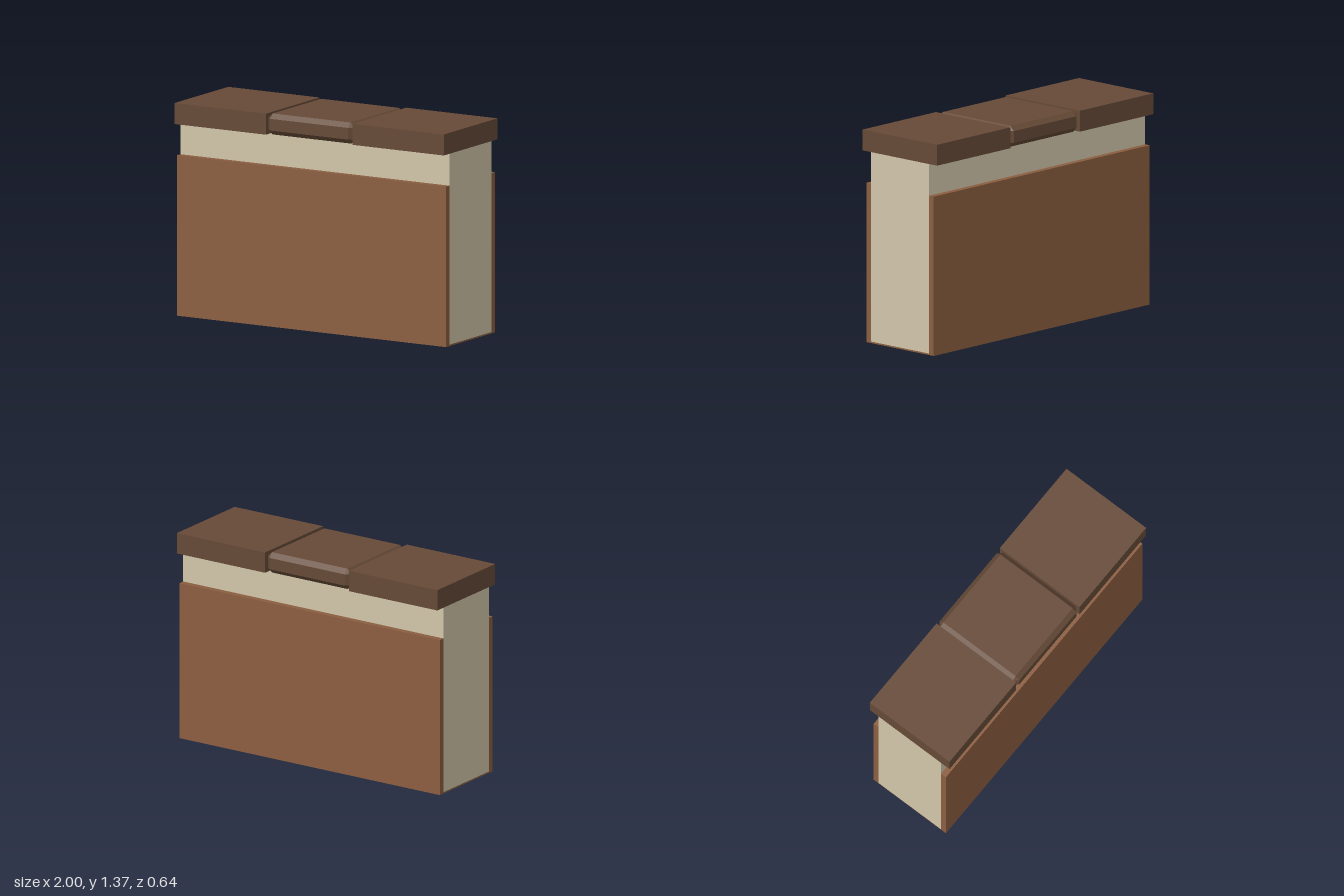
import * as THREE from 'three';
import { ConvexGeometry } from 'three/addons/geometries/ConvexGeometry.js';

const paint = (color) => new THREE.MeshStandardMaterial({ color, flatShading: true });

// Box given by its extents, centred on z = 0
function block(name, x0, x1, y0, y1, depth, material) {
  const mesh = new THREE.Mesh(new THREE.BoxGeometry(x1 - x0, y1 - y0, depth), material);
  mesh.name = name;
  mesh.position.set((x0 + x1) / 2, (y0 + y1) / 2, 0);
  return mesh;
}

// Box with every edge chamfered: each corner becomes three points
function chamferedBox(w, h, d, c) {
  const points = [];
  for (const x of [-w / 2, w / 2])
    for (const y of [-h / 2, h / 2])
      for (const z of [-d / 2, d / 2]) {
        const [ix, iy, iz] = [x, y, z].map((v) => v - Math.sign(v) * c);
        points.push(
          new THREE.Vector3(x, iy, iz),
          new THREE.Vector3(ix, y, iz),
          new THREE.Vector3(ix, iy, z)
        );
      }
  return new ConvexGeometry(points);
}

export function createModel() {
  const group = new THREE.Group();
  group.name = 'wallSection';
  const panelBrown = paint(0x8b5e40);
  const plaster = paint(0xd2c6aa);
  const darkWood = paint(0x664a37);

  // Lower cladding around the plaster core, which shows at the ends
  group.add(block('cladding', -0.999, 0.999, 0, 1.03, 0.58, panelBrown));
  group.add(block('plasterCore', -1, 1, 0.01, 1.235, 0.5, plaster));

  // Cap rail: two plain end pieces and a chamfered middle piece
  for (const [name, x0, x1] of [['leftCap', 0.322, 1], ['rightCap', -1, -0.322]])
    group.add(block(name, x0, x1, 1.235, 1.37, 0.64, darkWood));

  const middle = new THREE.Mesh(chamferedBox(0.64, 0.135, 0.64, 0.03), darkWood);
  middle.name = 'middleCap';
  middle.position.y = 1.3025;
  group.add(middle);

  return group;
}
